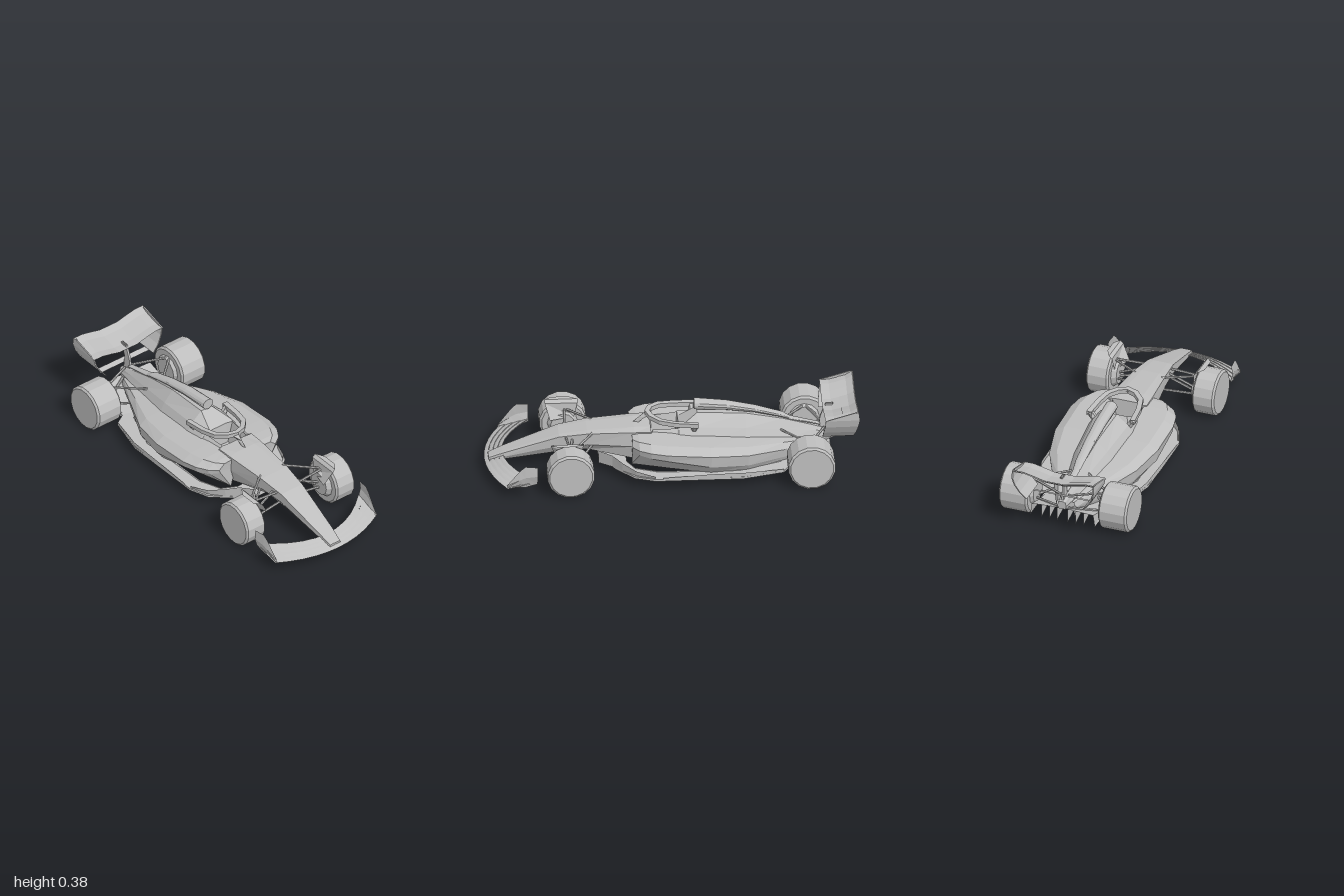
import * as THREE from 'three';

const V = (p) => new THREE.Vector3(...p);

// Skin between rows of points; open sheet
function sheet(rows) {
  const pos = [];
  for (let i = 0; i < rows.length - 1; i++) {
    for (let j = 0; j < rows[i].length - 1; j++) {
      const a = rows[i][j], b = rows[i][j + 1], c = rows[i + 1][j + 1], d = rows[i + 1][j];
      pos.push(...a, ...d, ...b, ...b, ...d, ...c);
    }
  }
  const g = new THREE.BufferGeometry();
  g.setAttribute('position', new THREE.Float32BufferAttribute(pos, 3));
  g.computeVertexNormals();
  return g;
}

// Mirrored closed hull: each section is [z, half profile from top centre to bottom centre], front to back
function hull(sections) {
  const rows = sections.map(([z, half]) => {
    const right = half.map(([x, y]) => [x, y, z]);
    const left = half.slice(0, -1).reverse().map(([x, y]) => [-x, y, z]);
    return [...right, ...left];
  });
  const mid = (row) => {
    const y = row.reduce((s, p) => s + p[1], 0) / row.length;
    return row.map(() => [0, y, row[0][2]]);
  };
  return sheet([mid(rows[0]), ...rows, mid(rows[rows.length - 1])]);
}

// Mirrored shell, open underneath
function shell(sections) {
  return sheet(sections.map(([z, half]) => [
    ...half.slice(1).reverse().map(([x, y]) => [-x, y, z]), ...half.map(([x, y]) => [x, y, z]),
  ]));
}

// Faired strut between two points
function strut(a, b, r = 0.006) {
  const d = V(b).sub(V(a));
  const g = new THREE.CylinderGeometry(r, r, d.length(), 6);
  g.applyQuaternion(new THREE.Quaternion().setFromUnitVectors(new THREE.Vector3(0, 1, 0), d.clone().normalize()));
  g.translate(...V(a).addScaledVector(d, 0.5).toArray());
  return g;
}

export function createModel() {
  const car = new THREE.Group();
  car.name = 'openWheelRacingCar';
  const paint = new THREE.MeshStandardMaterial({ color: 0xbebebe });
  paint.name = 'bodyGrey';
  paint.side = THREE.DoubleSide;
  paint.flatShading = true;

  const add = (name, geo) => {
    const m = new THREE.Mesh(geo, paint);
    m.name = name;
    car.add(m);
    return m;
  };
  // Builds a part on both sides from a function of the side sign
  const pair = (name, make) => {
    add(name + 'Left', make(1));
    add(name + 'Right', make(-1));
  };

  // Nose: z, centre y, centre half width, shoulder x y, waist x y, bottom x y
  const nose = [
    [0.975, 0.085, 0.02, 0.033, 0.083, 0.036, 0.074, 0.03, 0.064],
    [0.9, 0.115, 0.025, 0.043, 0.113, 0.045, 0.09, 0.032, 0.07],
    [0.6, 0.218, 0.04, 0.072, 0.215, 0.07, 0.16, 0.038, 0.11],
    [0.45, 0.24, 0.05, 0.088, 0.236, 0.086, 0.17, 0.05, 0.125],
    [0.2, 0.255, 0.06, 0.108, 0.245, 0.11, 0.16, 0.09, 0.08],
  ];
  add('nose', hull(nose.map(([z, yc, a, bx, by, cx, cy, dx, dy]) =>
    [z, [[0, yc], [a, yc], [bx, by], [cx, cy], [dx, dy], [0, dy]]])));

  // Tub with sunken cockpit and engine cover, open underneath: z, centre y, centre half width, shoulder x y, foot x y
  const tub = [
    [0.2, 0.255, 0.06, 0.108, 0.245, 0.11, 0.16], [0.11, 0.25, 0.055, 0.11, 0.245, 0.13, 0.17],
    [0.1, 0.13, 0.055, 0.08, 0.245, 0.14, 0.17], [-0.03, 0.13, 0.06, 0.09, 0.252, 0.15, 0.18],
    [-0.04, 0.25, 0.055, 0.095, 0.257, 0.15, 0.18], [-0.14, 0.315, 0.035, 0.1, 0.26, 0.15, 0.18],
    [-0.4, 0.295, 0.025, 0.08, 0.235, 0.12, 0.17], [-0.6, 0.25, 0.016, 0.05, 0.2, 0.08, 0.15],
  ];
  add('tubAndEngineCover', shell(tub.map(([z, yc, a, bx, by, cx, cy]) => [z, [[0, yc], [a, yc], [bx, by], [cx, cy]]])));
  add('gearbox', hull([
    [-0.6, [[0, 0.25], [0.016, 0.25], [0.05, 0.2], [0.08, 0.15], [0.07, 0.08], [0, 0.08]]],
    [-0.75, [[0, 0.205], [0.012, 0.205], [0.03, 0.18], [0.045, 0.15], [0.04, 0.09], [0, 0.09]]],
    [-0.86, [[0, 0.17], [0.01, 0.17], [0.02, 0.165], [0.025, 0.145], [0.02, 0.125], [0, 0.125]]],
  ]));

  // Sidepods, undercut at the front, open underneath: z, outer x, top y, belly y, foot x
  const pods = [
    [0.215, 0.19, 0.235, 0.18, 0.11], [0.18, 0.24, 0.24, 0.175, 0.12],
    [0.12, 0.275, 0.24, 0.17, 0.14], [0.03, 0.294, 0.234, 0.16, 0.17],
    [-0.2, 0.294, 0.216, 0.115, 0.24], [-0.4, 0.25, 0.193, 0.095, 0.22],
    [-0.6, 0.15, 0.168, 0.085, 0.13], [-0.8, 0.055, 0.145, 0.09, 0.05],
  ];
  pair('sidepod', (s) => {
    const rows = pods.map(([z, x, t, b, f]) =>
      [[x * 0.34, t], [x * 0.82, t - 0.005], [x, t - 0.035], [x - 0.008, b], [f, 0.058]].map(([px, py]) => [s * px, py, z]));
    return sheet([rows[0].map(() => [s * 0.08, 0.16, 0.21]), ...rows]);
  });

  // Airbox: round intake tapering into a spine
  const airbox = [[-0.125, 0.352, 0.034, 0.031], [-0.3, 0.336, 0.033, 0.025], [-0.45, 0.308, 0.03, 0.018],
    [-0.6, 0.266, 0.025, 0.012], [-0.64, 0.245, 0.02, 0.008], [-0.8, 0.205, 0.015, 0.005]];
  add('airbox', hull(airbox.map(([z, y, w, h]) => [z, Array.from({ length: 7 }, (_, i) => {
    const a = (i / 6) * Math.PI;
    return [Math.sin(a) * w, y + Math.cos(a) * h];
  })])));

  // Halo hoop with centre pillar
  const hoop = [[-0.125, 0.287, -0.14], [-0.115, 0.293, -0.02], [-0.095, 0.301, 0.06], [-0.05, 0.308, 0.108], [0, 0.311, 0.125]];
  const path = [...hoop, ...hoop.slice(0, -1).reverse().map(([x, y, z]) => [-x, y, z])];
  const section = path.map(([x, y, z], i) => {
    const t = V(path[Math.min(i + 1, 8)]).sub(V(path[Math.max(i - 1, 0)])).setY(0).normalize();
    const n = [t.z * 0.014, -t.x * 0.014];
    return [[1, 0.009], [-1, 0.011], [-1, -0.013], [1, -0.015], [1, 0.009]].map(([s, h]) => [x + n[0] * s, y + h, z + n[1] * s]);
  });
  add('haloHoop', sheet(section));
  add('haloPillar', sheet([[0.205, 0.25, 0.006], [0.17, 0.283, 0.013], [0.135, 0.312, 0.045]].map(([z, y, w]) =>
    [[-w, y, z - 0.03], [0, y, z], [w, y, z - 0.03], [-w, y, z - 0.03]])));
  pair('haloFoot', (s) => strut([s * 0.125, 0.285, -0.12], [s * 0.095, 0.245, -0.12], 0.018));

  // Floor rim around the open tunnels
  const outline = [[0.1, 0.33], [0.15, 0.305], [0.26, 0.21], [0.3, 0.1], [0.305, -0.37], [0.25, -0.59], [0.185, -0.63], [0.185, -0.72]];
  const tunnel = [[0.09, 0.24], [0.17, 0.2], [0.22, 0.08], [0.235, -0.35], [0.15, -0.58]];
  const loop = (pts) => [...pts, ...pts.slice().reverse().map(([x, z]) => [-x, z])].map(([x, z]) => new THREE.Vector2(x, z));
  const floor = new THREE.Shape(loop(outline));
  floor.holes.push(new THREE.Path(loop(tunnel)));
  add('floor', new THREE.ExtrudeGeometry(floor, { depth: 0.012, bevelEnabled: false }).rotateX(Math.PI / 2).translate(0, 0.062, 0));
  add('floorLip', sheet([[[-0.1, 0.06, 0.3], [0.1, 0.06, 0.3]], [[-0.07, 0.075, 0.39], [0.07, 0.075, 0.39]]]));
  pair('tunnelWall', (s) => sheet([[0.11, 0.24], [0.19, 0.2], [0.235, 0.08], [0.245, -0.35], [0.16, -0.58]]
    .map(([x, z]) => [[s * x, 0.042, z], [s * (x - 0.02), 0.065, z]])));
  pair('floorFences', (s) => sheet([[0.08, 0.39, 0.13], [0.13, 0.32, 0.125], [0.19, 0.27, 0.11], [0.25, 0.2, 0.09], [0.29, 0.1, 0.075]]
    .map(([x, z, y]) => [[s * x, 0.055, z], [s * (x + 0.006), y, z]])));
  pair('floorEdge', (s) => sheet([[0.302, 0.06, 0.07], [0.306, -0.2, 0.085], [0.302, -0.38, 0.085], [0.25, -0.59, 0.07]]
    .map(([x, z, y]) => [[s * x, 0.052, z], [s * x, y, z]])));

  // Diffuser ramp with strakes
  add('diffuser', sheet([[-0.62, 0.06], [-0.72, 0.075], [-0.85, 0.115]].map(([z, y]) =>
    [[-0.185, 0.045, z], [-0.175, y, z], [0, y + 0.01, z], [0.175, y, z], [0.185, 0.045, z]])));
  for (const x of [-0.12, -0.075, -0.03, 0.03, 0.075, 0.12]) {
    add('diffuserStrake', sheet([[[x, 0.065, -0.76], [x, 0.09, -0.76]], [[x, 0.042, -0.85], [x, 0.118, -0.85]]]));
  }

  // Wheels: chamfered drums
  const wheel = (x, z, w, r) => {
    const h = w / 2;
    const prof = [[0, -h], [r - 0.012, -h], [r, -h + 0.01], [r, h - 0.01], [r - 0.012, h], [0, h]];
    return new THREE.LatheGeometry(prof.map(([a, b]) => new THREE.Vector2(a, b)), 16)
      .rotateZ(Math.PI / 2).rotateX(Math.PI / 16).translate(x, 0.128, z);
  };
  pair('frontWheel', (s) => wheel(s * 0.303, 0.557, 0.127, 0.127));
  pair('rearWheel', (s) => wheel(s * 0.284, -0.732, 0.163, 0.127));

  // Brake drums and the winglets over the front wheels
  pair('frontBrakeDuct', (s) => new THREE.CylinderGeometry(0.085, 0.065, 0.03, 12).rotateZ(-s * Math.PI / 2).translate(s * 0.229, 0.13, 0.56));
  pair('rearBrakeDuct', (s) => new THREE.CylinderGeometry(0.085, 0.07, 0.02, 12).rotateZ(-s * Math.PI / 2).translate(s * 0.196, 0.13, -0.73));
  pair('wheelWinglet', (s) => sheet([
    [[0.278, 0.266, 0.53], [0.278, 0.266, 0.62]], [[0.25, 0.266, 0.48], [0.25, 0.266, 0.655]],
    [[0.233, 0.25, 0.48], [0.235, 0.25, 0.655]], [[0.226, 0.17, 0.5], [0.19, 0.17, 0.63]],
  ].map((row) => row.map(([x, y, z]) => [s * x, y, z]))));

  // Suspension arms
  const arms = {
    frontSuspension: [
      [[0.075, 0.236, 0.42], [0.235, 0.212, 0.54]], [[0.06, 0.21, 0.565], [0.235, 0.212, 0.55]],
      [[0.07, 0.165, 0.42], [0.235, 0.1, 0.54]], [[0.055, 0.15, 0.575], [0.235, 0.1, 0.555]],
      [[0.065, 0.205, 0.53], [0.235, 0.125, 0.55]],
    ],
    rearSuspension: [
      [[0.04, 0.2, -0.58], [0.2, 0.2, -0.72]], [[0.02, 0.19, -0.82], [0.2, 0.2, -0.74]],
      [[0.06, 0.12, -0.58], [0.2, 0.09, -0.72]], [[0.025, 0.12, -0.83], [0.2, 0.09, -0.74]],
    ],
  };
  for (const [name, list] of Object.entries(arms)) {
    for (const [a, b] of list) pair(name, (s) => strut([s * a[0], a[1], a[2]], [s * b[0], b[1], b[2]], 0.007));
  }

  // Front wing: four swept elements rising to the rear
  const spans = Array.from({ length: 11 }, (_, i) => -0.345 + i * 0.069);
  const lead = (x) => 0.997 - 0.85 * x * x;
  const trail = (x) => 0.9 - 1.4 * x * x;
  for (let k = 0; k < 4; k++) {
    const edge = (x, f) => lead(x) + (trail(x) - lead(x)) * f;
    add('frontWingElement', sheet(spans.map((x) => {
      const z0 = edge(x, k / 4), z1 = edge(x, (k + 0.96) / 4), y = 0.062 + k * 0.009;
      return [[x, y, z0], [x, y + 0.007, (z0 + z1) / 2], [x, y + 0.012, z1], [x, y + 0.006, z1], [x, y, z0]];
    })));
  }
  pair('frontWingEndplate', (s) => sheet([[0.9, 0.062, 0.075, 0.34], [0.83, 0.062, 0.165, 0.347], [0.8, 0.063, 0.192, 0.35], [0.735, 0.085, 0.188, 0.356]]
    .map(([z, y0, y1, x]) => [[s * (x - 0.012), y0, z], [s * (x + 0.002), (y0 + y1) / 2, z], [s * (x - 0.004), y1, z]])));

  // Rear wing: dipped main plane and flap, nearly touching
  const wingX = [-0.232, -0.18, -0.12, -0.06, 0, 0.06, 0.12, 0.18, 0.232];
  const wing = (name, prof) => add(name, sheet(wingX.map((x) => {
    const dip = 0.028 * THREE.MathUtils.smoothstep(0.2 - Math.abs(x), 0.02, 0.15);
    return prof.map(([z, y]) => [x, y - dip, z]);
  })));
  wing('rearWingMainPlane', [[-0.812, 0.342], [-0.86, 0.343], [-0.91, 0.354], [-0.91, 0.347], [-0.86, 0.334], [-0.812, 0.342]]);
  wing('rearWingFlap', [[-0.907, 0.356], [-0.95, 0.366], [-0.986, 0.388], [-0.991, 0.384], [-0.954, 0.357], [-0.907, 0.35]]);
  pair('rearWingEndplate', (s) => sheet([
    [0.234, 0.386, -0.97, -0.992], [0.234, 0.342, -0.815, -0.998], [0.224, 0.3, -0.812, -0.99],
    [0.2, 0.255, -0.805, -0.98], [0.165, 0.213, -0.802, -0.968],
  ].map(([x, y, z0, z1]) => [[s * x, y, z0], [s * x, y, z1], [s * (x - 0.007), y, z1], [s * (x - 0.007), y, z0], [s * x, y, z0]])));
  add('beamWing', sheet([-0.165, -0.08, 0, 0.08, 0.165].map((x) => [[x, 0.205, -0.845], [x, 0.215, -0.875]])));
  add('wingPylon', sheet([[0.16, -0.79, -0.85], [0.25, -0.8, -0.84], [0.325, -0.83, -0.87]].map(([y, z0, z1]) =>
    [[-0.006, y, z0], [0.006, y, z0], [0.006, y, z1], [-0.006, y, z1], [-0.006, y, z0]])));

  return car;
}
